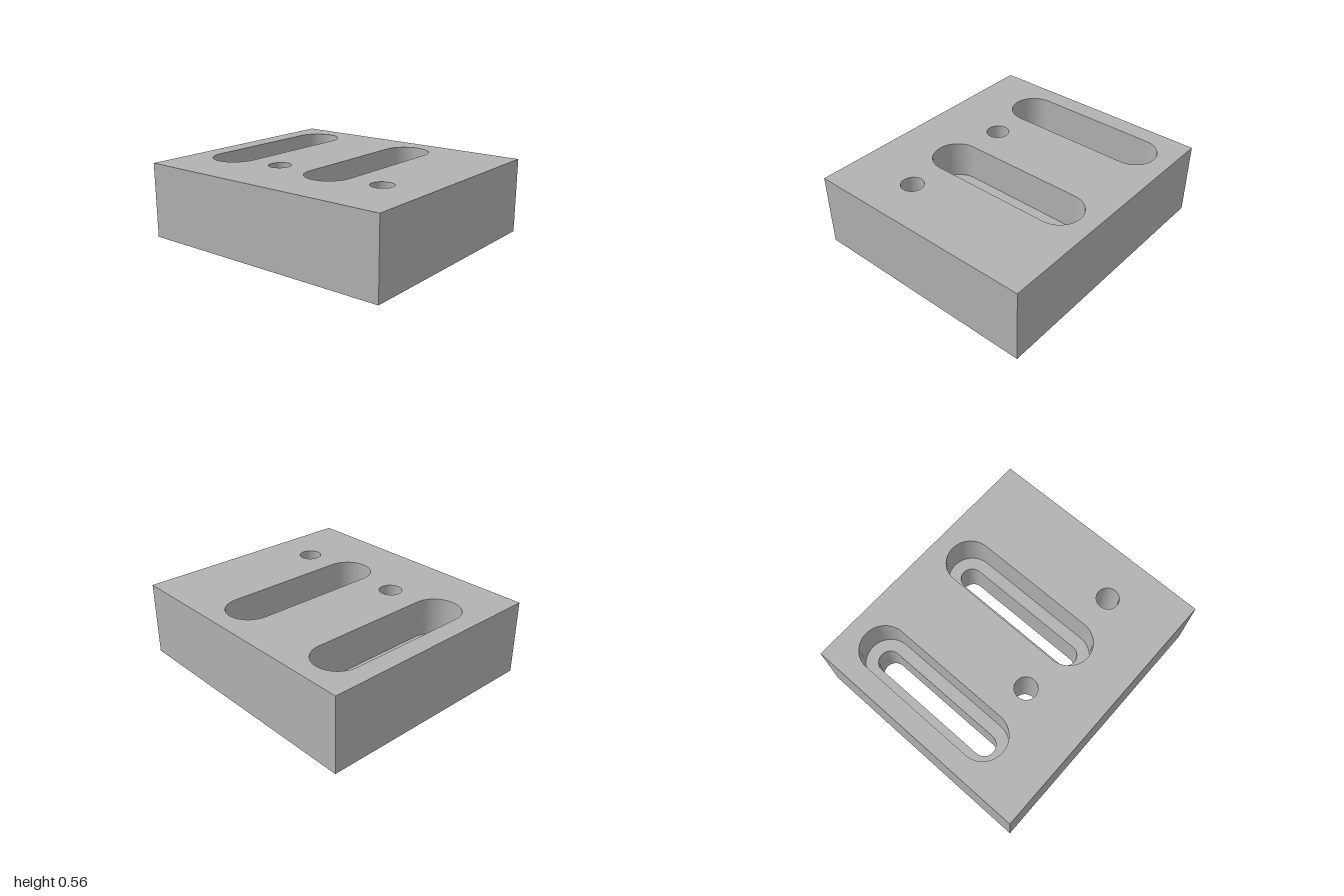
import * as THREE from 'three';

const W = 1.76, D = 2, H = 0.56;          // block size
const X0 = -0.36, X1 = 0.573;             // slot end centres
const R = 0.083, HEAD_R = 0.175, BORE_R = 0.142;
const SLOT_FLOOR = 0.28, BORE_DEPTH = 0.13;

// Rounded slot outline in plan; a circle when both ends coincide
function pill(xa, xb, z, r, n = 24) {
  const pts = [];
  for (const [cx, start] of [[xb, -Math.PI / 2], [xa, Math.PI / 2]]) {
    for (let i = 0; i <= n; i++) {
      if (xa === xb && i === n) continue;
      const t = start + Math.PI * i / n, c = Math.cos(t), s = Math.sin(t);
      pts.push({ x: cx + r * c, z: z + r * s, nx: -c, nz: -s });
    }
  }
  return pts;
}

// Flat horizontal face with openings, looking up or down
function face(outline, holes, y, up) {
  const to2D = pts => pts.map(p => new THREE.Vector2(p.x, up ? -p.z : p.z));
  const shape = new THREE.Shape(to2D(outline));
  shape.holes = holes.map(h => new THREE.Path(to2D(h)));
  return new THREE.ShapeGeometry(shape)
    .rotateX(up ? -Math.PI / 2 : Math.PI / 2).translate(0, y, 0);
}

// Smooth inward-facing wall following an outline
function wall(pts, y0, y1) {
  const pos = [], nor = [], idx = [], n = pts.length;
  pts.forEach((p, i) => {
    pos.push(p.x, y0, p.z, p.x, y1, p.z);
    nor.push(p.nx, 0, p.nz, p.nx, 0, p.nz);
    const a = 2 * i, b = 2 * ((i + 1) % n);
    idx.push(a, b, b + 1, a, b + 1, a + 1);
  });
  const g = new THREE.BufferGeometry();
  g.setAttribute('position', new THREE.Float32BufferAttribute(pos, 3));
  g.setAttribute('normal', new THREE.Float32BufferAttribute(nor, 3));
  g.setIndex(idx);
  return g;
}

export function createModel() {
  const model = new THREE.Group();
  model.name = 'slottedBlock';
  const metal = new THREE.MeshStandardMaterial({ color: 0xb2b2b2 });
  metal.name = 'grey metal';
  const add = (name, geometry) => {
    const mesh = new THREE.Mesh(geometry, metal);
    mesh.name = name;
    model.add(mesh);
  };

  const topHoles = [], bottomHoles = [];

  // Stepped slots: wide at the top, narrow through the floor
  for (const z of [-0.683, 0.21]) {
    const wide = pill(X0, X1, z, HEAD_R), narrow = pill(X0, X1, z, R);
    add('slotUpperWall', wall(wide, SLOT_FLOOR, H));
    add('slotLedge', face(wide, [narrow], SLOT_FLOOR, true));
    add('slotLowerWall', wall(narrow, 0, SLOT_FLOOR));
    topHoles.push(wide);
    bottomHoles.push(narrow);
  }

  // Round holes, counterbored from below
  for (const z of [-0.243, 0.65]) {
    const hole = pill(X0, X0, z, R), bore = pill(X0, X0, z, BORE_R);
    add('holeWall', wall(hole, BORE_DEPTH, H));
    add('counterboreLedge', face(bore, [hole], BORE_DEPTH, false));
    add('counterboreWall', wall(bore, 0, BORE_DEPTH));
    topHoles.push(hole);
    bottomHoles.push(bore);
  }

  // Outer faces of the block
  const rect = [[-1, -1], [1, -1], [1, 1], [-1, 1]]
    .map(([sx, sz]) => ({ x: sx * W / 2, z: sz * D / 2 }));
  add('topFace', face(rect, topHoles, H, true));
  add('bottomFace', face(rect, bottomHoles, 0, false));
  ['frontFace', 'leftFace', 'backFace', 'rightFace'].forEach((name, i) => {
    const [width, offset] = i % 2 ? [D, W / 2] : [W, D / 2];
    add(name, new THREE.PlaneGeometry(width, H)
      .translate(0, H / 2, offset).rotateY(i * Math.PI / 2));
  });

  return model;
}
